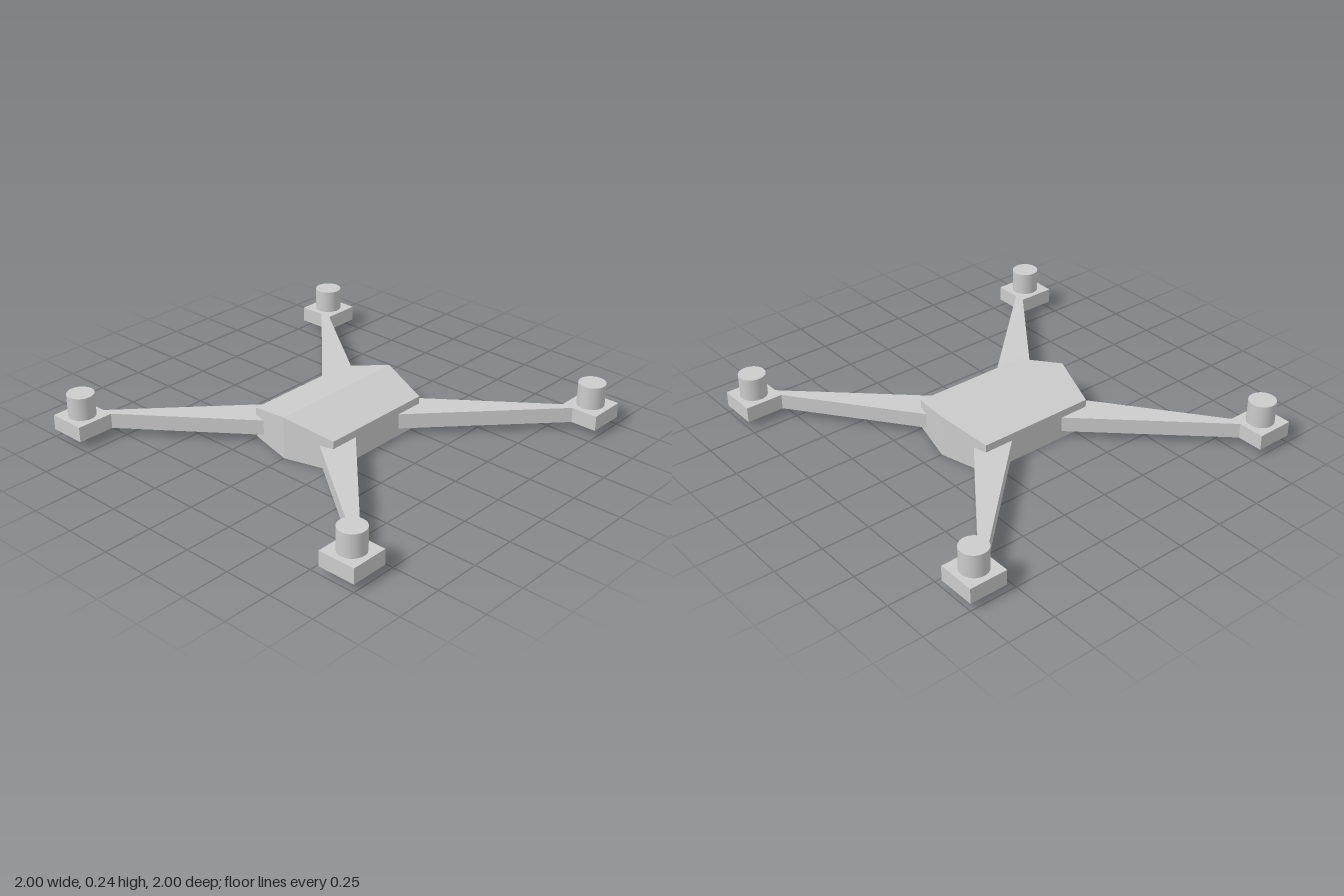
import * as THREE from 'three';

const material = new THREE.MeshStandardMaterial({ color: 0xcccccc });
const flat = new THREE.MeshStandardMaterial({ color: 0xcccccc, flatShading: true });

const ARM_BOTTOM = 0.04, ARM_TOP = 0.12, MOTOR_TOP = 0.24;

function add(parent, name, geometry, mat) {
  const mesh = new THREE.Mesh(geometry, mat);
  mesh.name = name;
  parent.add(mesh);
  return mesh;
}

// Hexagonal hull with a ridged roof: a box split down the middle, its corners pulled in and down
function bodyGeometry() {
  const geometry = new THREE.BoxGeometry(0.52, 1, 0.78, 2, 1, 1);
  const p = geometry.attributes.position;
  for (let i = 0; i < p.count; i++) {
    const onRidge = Math.abs(p.getX(i)) < 0.01;
    p.setY(i, p.getY(i) < 0 ? 0 : onRidge ? 0.225 : 0.16);
    p.setZ(i, Math.sign(p.getZ(i)) * (onRidge ? 0.39 : 0.32));
  }
  const split = geometry.toNonIndexed();
  split.computeVertexNormals();
  return split;
}

// Tapered arm, drawn in plan and extruded downwards from its top face
function armGeometry(sx, sz) {
  const plan = [[0.14, 0.302], [0.8, 0.8], [0.86, 0.8], [0.22, 0.117]];
  const shape = new THREE.Shape(plan.map(([x, z]) => new THREE.Vector2(sx * x, sz * z)));
  const geometry = new THREE.ExtrudeGeometry(shape, { depth: ARM_TOP - ARM_BOTTOM, bevelEnabled: false });
  geometry.rotateX(Math.PI / 2);
  geometry.translate(0, ARM_TOP, 0);
  return geometry;
}

export function createModel() {
  const model = new THREE.Group();
  model.name = 'quadcopter';
  add(model, 'body', bodyGeometry(), flat);

  // One arm, motor mount and motor in each corner
  for (const [sz, end] of [[1, 'front'], [-1, 'back']]) {
    for (const [sx, side] of [[1, 'Left'], [-1, 'Right']]) {
      const corner = new THREE.Group();
      corner.name = end + side + 'Rotor';
      add(corner, 'arm', armGeometry(sx, sz), flat);
      add(corner, 'motorMount', new THREE.BoxGeometry(0.2, ARM_TOP - ARM_BOTTOM, 0.2), flat)
        .position.set(sx * 0.9, (ARM_TOP + ARM_BOTTOM) / 2, sz * 0.9);
      add(corner, 'motor', new THREE.CylinderGeometry(0.07, 0.07, MOTOR_TOP - ARM_TOP, 32), material)
        .position.set(sx * 0.9, (MOTOR_TOP + ARM_TOP) / 2, sz * 0.9);
      model.add(corner);
    }
  }
  return model;
}
